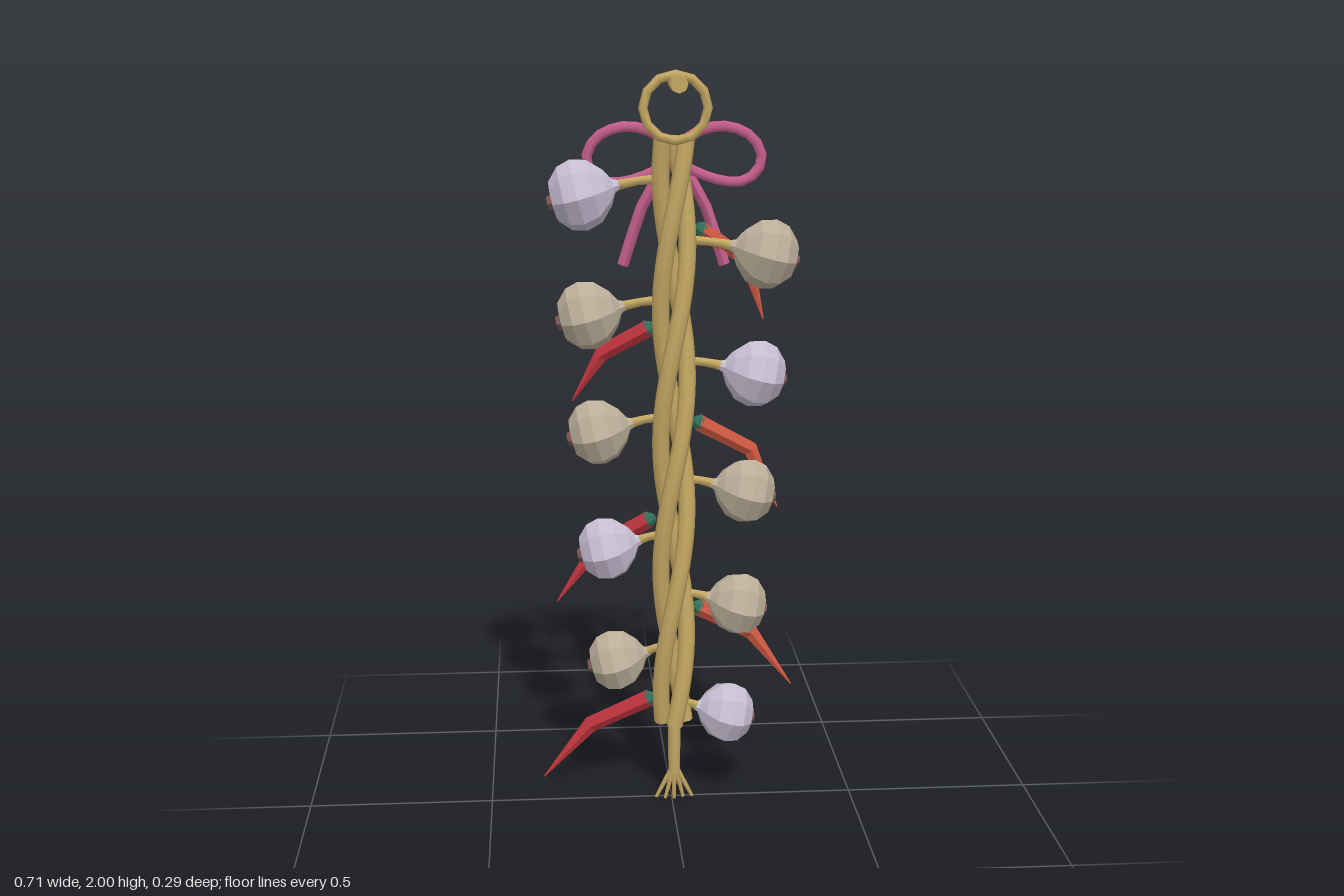
import * as THREE from 'three';

const mat = (name, color, flat = false) => {
  const m = new THREE.MeshStandardMaterial({ color, flatShading: flat });
  m.name = name;
  return m;
};
const V = (x, y, z) => new THREE.Vector3(x, y, z);
const UP = V(0, 1, 0);

export function createModel() {
  const root = new THREE.Group();
  root.name = 'garlicBraid';
  const straw = mat('straw', 0xc4a762);
  const cream = mat('creamSkin', 0xbbae99, true);
  const lilac = mat('lilacSkin', 0xc6bdd2, true);
  const rootBrown = mat('rootBrown', 0x7a5452, true);
  const red = mat('redPepper', 0xc2353f, true);
  const orange = mat('orangePepper', 0xd25a43, true);
  const green = mat('pepperCap', 0x2f6e58, true);
  const pink = mat('ribbon', 0xc45e8c);

  const add = (name, geo, material, parent = root) => {
    const m = new THREE.Mesh(geo, material);
    m.name = name;
    parent.add(m);
    return m;
  };
  // straight rod between two points
  const rod = (name, a, b, ra, rb, material, sides = 6) => {
    const d = b.clone().sub(a);
    const m = add(name, new THREE.CylinderGeometry(rb, ra, d.length(), sides), material);
    m.position.copy(a).add(b).multiplyScalar(0.5);
    m.quaternion.setFromUnitVectors(UP, d.normalize());
    return m;
  };
  // tube whose radius follows the list of radii, one ring for each
  const taperedTube = (points, radii, sides) => {
    const curve = new THREE.CatmullRomCurve3(points);
    const n = radii.length - 1;
    const geo = new THREE.TubeGeometry(curve, n, 1, sides);
    const p = geo.attributes.position;
    const v = V(0, 0, 0);
    for (let i = 0; i < p.count; i++) {
      const ring = Math.floor(i / (sides + 1));
      const c = curve.getPointAt(ring / n);
      v.fromBufferAttribute(p, i).sub(c).multiplyScalar(radii[ring]).add(c);
      p.setXYZ(i, v.x, v.y, v.z);
    }
    geo.computeVertexNormals();
    return geo;
  };

  // three twisted strands with capped ends
  for (let k = 0; k < 3; k++) {
    const pts = [];
    for (let i = 0; i <= 24; i++) {
      const t = i / 24;
      const a = k * Math.PI * 2 / 3 + t * Math.PI * 3;
      pts.push(V(0.005 + 0.035 * Math.sin(a), 1.84 - 1.6 * t, 0.018 - 0.025 * Math.cos(a)));
    }
    add('strand', new THREE.TubeGeometry(new THREE.CatmullRomCurve3(pts), 48, 0.023, 8), straw);
    for (const [p, s] of [[pts[0], 1], [pts[24], -1]]) {
      const cap = add('strandEnd', new THREE.CircleGeometry(0.023, 8), straw);
      cap.position.copy(p);
      cap.rotation.x = -s * Math.PI / 2;
    }
  }

  // tail and frayed ends
  rod('tail', V(0.006, 0.09, 0.02), V(0.006, 0.25, 0.02), 0.016, 0.018, straw, 8);
  for (let i = -2; i <= 2; i++) {
    rod('fray', V(0.006 + i * 0.004, 0.1, 0.02),
      V(0.006 + i * 0.025, 0.012 + Math.abs(i) * 0.003, 0.018 - (i % 2) * 0.003), 0.008, 0.005, straw, 5);
  }

  // hanging ring and peg
  const ring = add('hangingRing', new THREE.TorusGeometry(0.083, 0.012, 6, 12), straw);
  ring.position.set(0.006, 1.915, 0.054);
  rod('hangingPeg', V(0.009, 1.978, 0.04), V(0.009, 1.978, 0.142), 0.023, 0.023, straw, 8);

  // bulbs: [x, y], alternating sides on the way down
  const bulbs = [[-0.235, 1.69, lilac], [0.25, 1.532, cream], [-0.218, 1.375, cream], [0.223, 1.213, lilac],
    [-0.195, 1.06, cream], [0.2, 0.89, cream], [-0.173, 0.735, lilac], [0.182, 0.57, cream],
    [-0.15, 0.415, cream], [0.153, 0.253, lilac]];
  const profile = [[0.08, -1.1], [0.2, -0.85], [0.52, -0.68], [0.88, -0.35], [1, 0.05], [0.9, 0.4],
    [0.56, 0.7], [0, 0.76]].map(([r, y]) => new THREE.Vector2(r, y));
  bulbs.forEach(([x, y, skin], i) => {
    const s = Math.sign(x);
    const size = 0.109 - i * 0.0013;
    const dir = V(s, -0.26, -0.05).normalize();
    const g = new THREE.Group();
    g.name = 'bulb';
    g.position.set(x, y, -0.014);
    // local y runs along the bulb axis, local x stays upright, local z is deepest
    const side = V(0, 0, 1).addScaledVector(dir, -dir.z).normalize();
    g.quaternion.setFromRotationMatrix(
      new THREE.Matrix4().makeBasis(dir.clone().cross(side), dir, side));
    g.scale.set(size * 0.87, size * 0.95, size);
    root.add(g);
    // quarter-phase start puts vertices on both the wide and the tall axes
    const shell = new THREE.LatheGeometry(profile, 8);
    add('bulbSkin', shell, skin, g);
    add('bulbRoots', new THREE.CylinderGeometry(0.2, 0.24, 0.14, 6), rootBrown, g).position.y = 0.78;
    const neck = g.position.clone().addScaledVector(dir, -size * 0.85);
    const base = V(s * 0.025, y + 0.042, 0.012);
    const mid = base.clone().lerp(neck, 0.5);
    mid.y += 0.004;
    add('bulbStem', taperedTube([base, mid, neck], [0.013, 0.012, 0.011, 0.012, 0.014], 6), straw);
  });

  // peppers: start, bend and tip in x, y
  const peppers = [
    [-0.055, 1.33, -0.2, 1.235, -0.262, 1.12, red],
    [-0.055, 0.8, -0.19, 0.715, -0.31, 0.55, red],
    [-0.055, 0.28, -0.2, 0.2, -0.355, 0.025, red],
    [0.08, 1.592, 0.205, 1.51, 0.257, 1.34, orange],
    [0.075, 1.07, 0.22, 0.985, 0.302, 0.812, orange],
    [0.075, 0.545, 0.21, 0.47, 0.348, 0.288, orange]];
  for (const [ax, ay, bx, by, cx, cy, skin] of peppers) {
    const a = V(ax, ay, -0.065), b = V(bx, by, -0.12), c = V(cx, cy, -0.125);
    add('pepper', taperedTube([a, b, c], [0.024, 0.023, 0.002], 6), skin);
    const back = a.clone().sub(b).normalize();
    rod('pepperCap', a.clone().addScaledVector(back, -0.006),
      a.clone().addScaledVector(back, 0.014), 0.025, 0.012, green);
  }

  // ribbon bow: two closed loops, two tails and a knot
  for (const s of [-1, 1]) {
    const P = (x, y, z) => V(0.012 + s * x, y, z);
    const loop = new THREE.CatmullRomCurve3([P(0, 1.785, -0.075), P(0.05, 1.84, -0.07), P(0.13, 1.86, -0.07),
      P(0.205, 1.83, -0.07), P(0.23, 1.77, -0.07), P(0.19, 1.72, -0.07), P(0.1, 1.725, -0.07)], true);
    add('bowLoop', new THREE.TubeGeometry(loop, 18, 0.015, 6, true), pink);
    add('bowTail', taperedTube([P(0, 1.785, -0.08), P(0.075, 1.67, -0.09), P(0.135, 1.495, -0.092)],
      [0.017, 0.017, 0.017, 0.017, 0.017], 6), pink);
    const end = add('bowTailEnd', new THREE.CircleGeometry(0.017, 6), pink);
    end.position.copy(P(0.135, 1.496, -0.092));
    end.rotation.x = Math.PI / 2;
  }
  add('bowKnot', new THREE.SphereGeometry(0.034, 8, 6), pink).position.set(0.01, 1.782, -0.092);

  return root;
}
